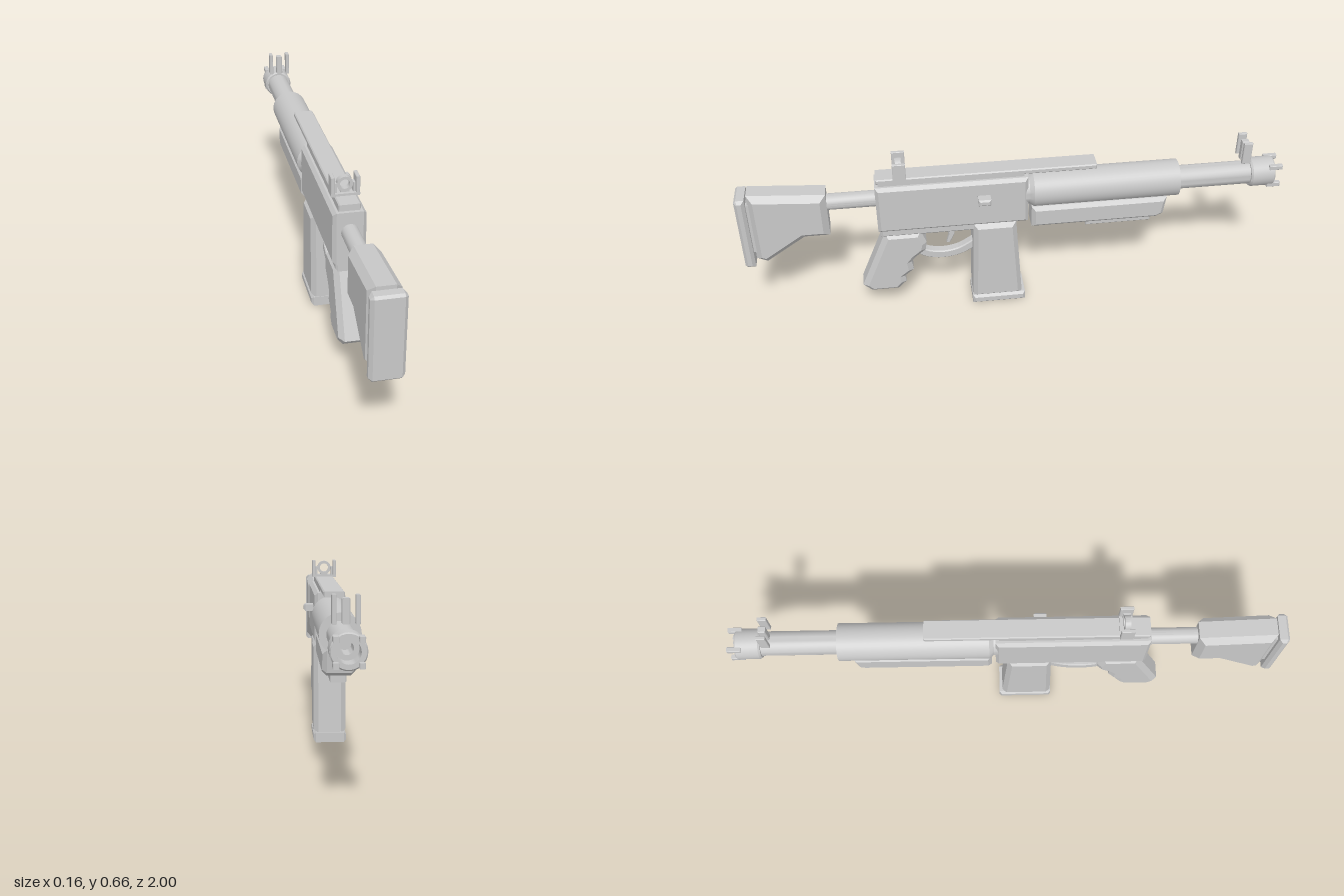
import * as THREE from 'three';
import { toCreasedNormals } from 'three/addons/utils/BufferGeometryUtils.js';

const metal = new THREE.MeshStandardMaterial({ color: 0xc8c8c8 });
metal.name = 'light grey metal';

export function createModel() {
  const root = new THREE.Group();
  root.name = 'rifle';
  const body = new THREE.Group();
  body.name = 'rifleBody';
  body.position.x = -0.013;
  root.add(body);

  const add = (name, geometry) => {
    const mesh = new THREE.Mesh(geometry, metal);
    mesh.name = name;
    body.add(mesh);
    return mesh;
  };

  // Side outline of [z, y] points, extruded to a width in x with chamfered edges
  const slab = (name, points, width, bevel = 0, x = 0) => {
    const shape = new THREE.Shape(points.map(([z, y]) => new THREE.Vector2(z, y)));
    const depth = width - 2 * bevel;
    const g = new THREE.ExtrudeGeometry(shape, {
      depth, bevelEnabled: bevel > 0, bevelSize: bevel, bevelThickness: bevel,
      bevelOffset: -bevel, bevelSegments: 1,
    });
    g.translate(0, 0, -depth / 2);
    g.rotateY(-Math.PI / 2);
    g.translate(x, 0, 0);
    return add(name, g);
  };
  const block = (name, z0, z1, y0, y1, width, bevel = 0, x = 0) =>
    slab(name, [[z0, y0], [z1, y0], [z1, y1], [z0, y1]], width, bevel, x);

  // Profile of [radius, z] points (from back to muzzle) turned around the z axis
  const turned = (name, points, y, segments = 32) => {
    let g = new THREE.LatheGeometry(points.map(([r, z]) => new THREE.Vector2(r, -z)), segments);
    g.rotateX(-Math.PI / 2);
    g = toCreasedNormals(g, 0.5);
    g.translate(0, y, 0);
    return add(name, g);
  };

  // Stock
  slab('buttPlate', [[0.963, 0.262], [0.992, 0.262], [1.0, 0.27], [1.0, 0.55],
    [0.992, 0.558], [0.963, 0.558]], 0.113, 0.011);
  slab('stock', [[0.957, 0.567], [0.957, 0.29], [0.92, 0.272], [0.775, 0.37],
    [0.682, 0.37], [0.682, 0.547]], 0.106, 0.022);
  block('buttSpacer', 0.93, 0.98, 0.32, 0.53, 0.07);
  turned('stockTube', [[0, 0.72], [0.03, 0.72], [0.03, 0.49], [0, 0.49]], 0.495, 24);

  // Receiver and rail
  block('receiver', 0.508, -0.044, 0.374, 0.567, 0.114, 0.012);
  block('receiverBase', 0.5, 0.15, 0.345, 0.385, 0.09, 0.008);
  block('railRiser', 0.495, -0.03, 0.56, 0.58, 0.074);
  block('rail', 0.503, -0.296, 0.574, 0.594, 0.074, 0.004);
  block('boltHandle', 0.142, 0.096, 0.485, 0.51, 0.06, 0.006, 0.063);

  // Handguard and lower foregrip
  turned('handguard', [[0, -0.03], [0.056, -0.03], [0.056, -0.05], [0.068, -0.066],
    [0.068, -0.608], [0.04, -0.608]], 0.488, 40);
  slab('foregrip', [[-0.058, 0.43], [-0.058, 0.342], [-0.53, 0.342],
    [-0.558, 0.355], [-0.568, 0.43]], 0.108, 0.014);
  block('foregripPlate', -0.266, -0.514, 0.316, 0.35, 0.055, 0.004);

  // Barrel and hollow muzzle crown with four prongs
  turned('barrel', [[0.03, -0.59], [0.044, -0.59], [0.044, -0.9], [0.02, -0.9],
    [0.02, -0.8], [0, -0.8]], 0.486);
  turned('muzzle', [[0.04, -0.883], [0.05, -0.883], [0.055, -0.89], [0.055, -0.97],
    [0.051, -0.975], [0.036, -0.975], [0.036, -0.895]], 0.486);
  for (const sx of [-1, 1]) {
    for (const sy of [-1, 1]) {
      const prong = block('muzzleProng', -0.95, -1.0, -0.009, 0.009, 0.018, 0.002);
      prong.position.set(sx * 0.037, 0.486 + sy * 0.037, 0);
    }
  }

  // Rear sight with ring and guard posts
  block('rearSightBase', 0.44, 0.393, 0.592, 0.602, 0.097);
  turned('rearSightRing', [[0.017, 0.428], [0.027, 0.428], [0.027, 0.407],
    [0.017, 0.407], [0.017, 0.428]], 0.63, 24);
  block('ringFoot', 0.428, 0.407, 0.598, 0.61, 0.03);
  for (const s of [-1, 1]) {
    block('rearSightPost', 0.44, 0.393, 0.595, 0.66, 0.013, 0.002, s * 0.042);
    block('rearSightCheek', 0.43, 0.405, 0.6, 0.635, 0.007, 0, s * 0.031);
    block('frontSightPost', -0.84, -0.872, 0.55, 0.637, 0.014, 0.002, s * 0.035);
  }
  block('frontSightBlade', -0.843, -0.869, 0.55, 0.627, 0.024, 0.003);

  // Magazine
  slab('magazine', [[0.16, 0.375], [0.168, 0.03], [-0.022, 0.03], [0, 0.375]], 0.12, 0.017);
  block('magazineBase', 0.17, -0.033, 0.001, 0.038, 0.123, 0.009);

  // Pistol grip with finger grooves
  slab('grip', [[0.487, 0.355], [0.585, 0.12], [0.553, 0.09], [0.452, 0.09],
    [0.42, 0.122], [0.425, 0.147], [0.39, 0.176], [0.395, 0.213], [0.38, 0.233],
    [0.34, 0.266], [0.335, 0.3], [0.355, 0.355]], 0.098, 0.018);

  // Trigger guard: a curved band from grip to magazine
  const guard = new THREE.SplineCurve([[0.375, 0.262], [0.335, 0.234], [0.275, 0.223],
    [0.21, 0.235], [0.15, 0.27]].map(([z, y]) => new THREE.Vector2(z, y)));
  const outer = [], inner = [];
  for (let i = 0; i <= 16; i++) {
    const p = guard.getPoint(i / 16), t = guard.getTangent(i / 16);
    outer.push([p.x + t.y * 0.016, p.y - t.x * 0.016]);
    inner.unshift([p.x - t.y * 0.016, p.y + t.x * 0.016]);
  }
  slab('triggerGuard', [...outer, ...inner], 0.036, 0.004);

  // Trigger
  slab('trigger', [[0.272, 0.355], [0.249, 0.31], [0.259, 0.272], [0.247, 0.272],
    [0.228, 0.312], [0.23, 0.355]], 0.022, 0.003);

  return root;
}
